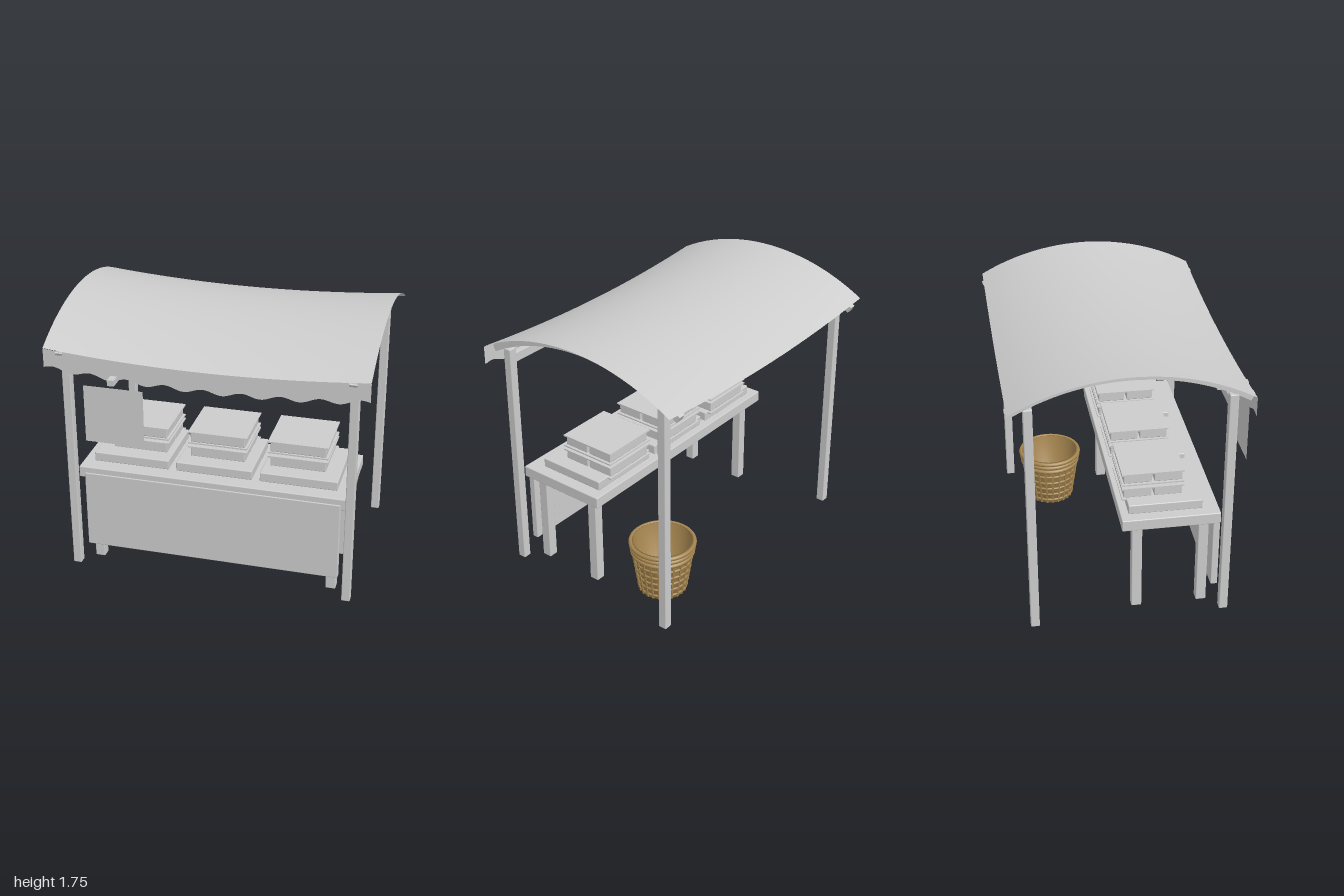
import * as THREE from 'three';
import { RoundedBoxGeometry } from 'three/addons/geometries/RoundedBoxGeometry.js';

const grey = new THREE.MeshStandardMaterial({ color: 0xcccccc, side: THREE.DoubleSide });
grey.name = 'paleGrey';
const wicker = new THREE.MeshStandardMaterial({ color: 0xa5854f });
wicker.name = 'wickerBrown';

// Roof arc across z, sagging towards the middle of x
const ROOF_R = 1.44, ROOF_Z = -0.03, ROOF_TOP = 1.70, HALF_DEPTH = 0.715;
const sag = x => 0.05 * x * x;

function add(parent, name, geometry, material = grey) {
  const mesh = new THREE.Mesh(geometry, material);
  mesh.name = name;
  parent.add(mesh);
  return mesh;
}

// Softly edged box given by its limits on each axis
function block(parent, name, [x0, x1], [y0, y1], [z0, z1], bevel = 0.006) {
  const size = [x1 - x0, y1 - y0, z1 - z0];
  const geometry = bevel ? new RoundedBoxGeometry(...size, 2, bevel) : new THREE.BoxGeometry(...size);
  const mesh = add(parent, name, geometry);
  mesh.position.set((x0 + x1) / 2, (y0 + y1) / 2, (z0 + z1) / 2);
  return mesh;
}

const around = (c, width) => [c - width / 2, c + width / 2];

function makeCanopy() {
  const canopy = new THREE.Group();
  canopy.name = 'canopy';

  // Curved cloth roof
  const roof = new THREE.PlaneGeometry(2, 2, 24, 24).rotateX(-Math.PI / 2);
  const maxAngle = Math.asin(HALF_DEPTH / ROOF_R);
  const p = roof.attributes.position;
  for (let i = 0; i < p.count; i++) {
    const x = p.getX(i), a = p.getZ(i) * maxAngle;
    p.setXYZ(i, x, ROOF_TOP - ROOF_R * (1 - Math.cos(a)) + sag(x), ROOF_Z + ROOF_R * Math.sin(a));
  }
  roof.computeVertexNormals();
  add(canopy, 'roofCloth', roof);

  // Scalloped valance along the front edge
  const valance = new THREE.PlaneGeometry(2, 1, 120, 1);
  const v = valance.attributes.position;
  for (let i = 0; i < v.count; i++) {
    const x = v.getX(i);
    const hem = 1.387 + 0.014 * Math.cos(2 * Math.PI * x / 0.235);
    v.setXYZ(i, x, (v.getY(i) > 0 ? 1.508 : hem) + sag(x), ROOF_Z + HALF_DEPTH);
  }
  add(canopy, 'frontValance', valance);

  // Arched rafters at both ends
  const outer = 1.435, inner = 1.388, end = Math.asin(0.724 / outer);
  const arch = new THREE.Shape();
  arch.absarc(0, 0, outer, Math.PI / 2 - end, Math.PI / 2 + end, false);
  arch.absarc(0, 0, inner, Math.PI / 2 + end, Math.PI / 2 - end, true);
  const rafter = new THREE.ExtrudeGeometry(arch, { depth: 0.045, bevelEnabled: false, curveSegments: 16 });
  rafter.translate(0, 0, -0.0225).rotateY(-Math.PI / 2);
  for (const side of [-1, 1])
    add(canopy, 'rafter', rafter).position.set(side * 0.897, 1.735 - outer, ROOF_Z);

  // Posts and the beams that join them
  for (const z of [0.572, -0.622]) {
    for (const side of [-1, 1])
      block(canopy, 'post', around(side * 0.895, 0.055), [0, 1.545], around(z, 0.055));
    block(canopy, 'crossBeam', [-0.88, 0.88], [1.44, 1.505], around(z, 0.04));
  }
  return canopy;
}

function makeTable() {
  const table = new THREE.Group();
  table.name = 'table';
  block(table, 'tableTop', [-0.868, 0.868], [0.62, 0.695], [-0.07, 0.543]);
  block(table, 'frontPanel', [-0.83, 0.83], [0.128, 0.655], [0.505, 0.549]);
  for (const side of [-1, 1])
    for (const z of [0.45, 0.033])
      block(table, 'tableLeg', around(side * 0.777, 0.065), [0, 0.63], around(z, 0.065));
  return table;
}

// Low stand carrying two tiers, each a pair of boxes between two boards
function makeDisplay(standX, stackX) {
  const display = new THREE.Group();
  display.name = 'displayStack';
  block(display, 'stand', around(standX, 0.495), [0.693, 0.755], [-0.02, 0.442]);
  for (const y of [0.743, 0.845]) {
    block(display, 'lowerBoard', around(stackX, 0.387), [y, y + 0.009], [-0.047, 0.34], 0);
    block(display, 'upperBoard', around(stackX, 0.387), [y + 0.073, y + 0.082], [-0.047, 0.34], 0);
    for (const z of [0.243, 0.052])
      block(display, 'stackedBox', around(stackX, 0.357), [y + 0.009, y + 0.073], around(z, 0.175));
  }
  return display;
}

function makeBasket() {
  const basket = new THREE.Group();
  basket.name = 'basket';
  const H = 0.36, radiusAt = y => 0.148 + 0.054 * y / H;

  // Hollow tapered wall with a closed floor
  const profile = [[0, 0], [0.148, 0], [0.202, H], [0.186, H], [0.136, 0.02], [0, 0.02]];
  add(basket, 'basketWall', new THREE.LatheGeometry(profile.map(q => new THREE.Vector2(...q)), 40), wicker);

  // Woven hoops, thicker towards the rim
  [0.03, 0.08, 0.13, 0.18, 0.235, 0.285, 0.32, 0.35].forEach((y, i) => {
    const thick = i > 4 ? 0.014 : 0.008;
    const hoop = add(basket, i === 7 ? 'rim' : 'hoop',
      new THREE.TorusGeometry(radiusAt(y) + 0.002, thick, 8, 40).rotateX(Math.PI / 2), wicker);
    hoop.position.y = y;
  });

  // Upright canes
  const lean = Math.atan2(0.054, H);
  for (let i = 0; i < 24; i++) {
    const a = i / 24 * Math.PI * 2, y = 0.145, r = radiusAt(y) + 0.002;
    const cane = add(basket, 'cane', new THREE.BoxGeometry(0.012, 0.285, 0.012), wicker);
    cane.position.set(r * Math.sin(a), y, r * Math.cos(a));
    cane.rotation.set(lean, a, 0, 'YXZ');
  }
  basket.position.set(0.585, 0, -0.357);
  return basket;
}

export function createModel() {
  const stall = new THREE.Group();
  stall.name = 'marketStall';
  stall.add(makeCanopy(), makeTable(), makeBasket());
  for (const [standX, stackX] of [[-0.548, -0.522], [-0.003, -0.006], [0.543, 0.515]])
    stall.add(makeDisplay(standX, stackX));

  // Hanging sign on its bracket
  const sign = new THREE.Group();
  sign.name = 'hangingSign';
  block(sign, 'signBracket', around(-0.552, 0.042), [1.388, 1.426], [0.555, 0.75], 0);
  add(sign, 'signBoard', new THREE.PlaneGeometry(0.378, 0.375)).position.set(-0.551, 1.17, 0.715);
  stall.add(sign);
  return stall;
}
